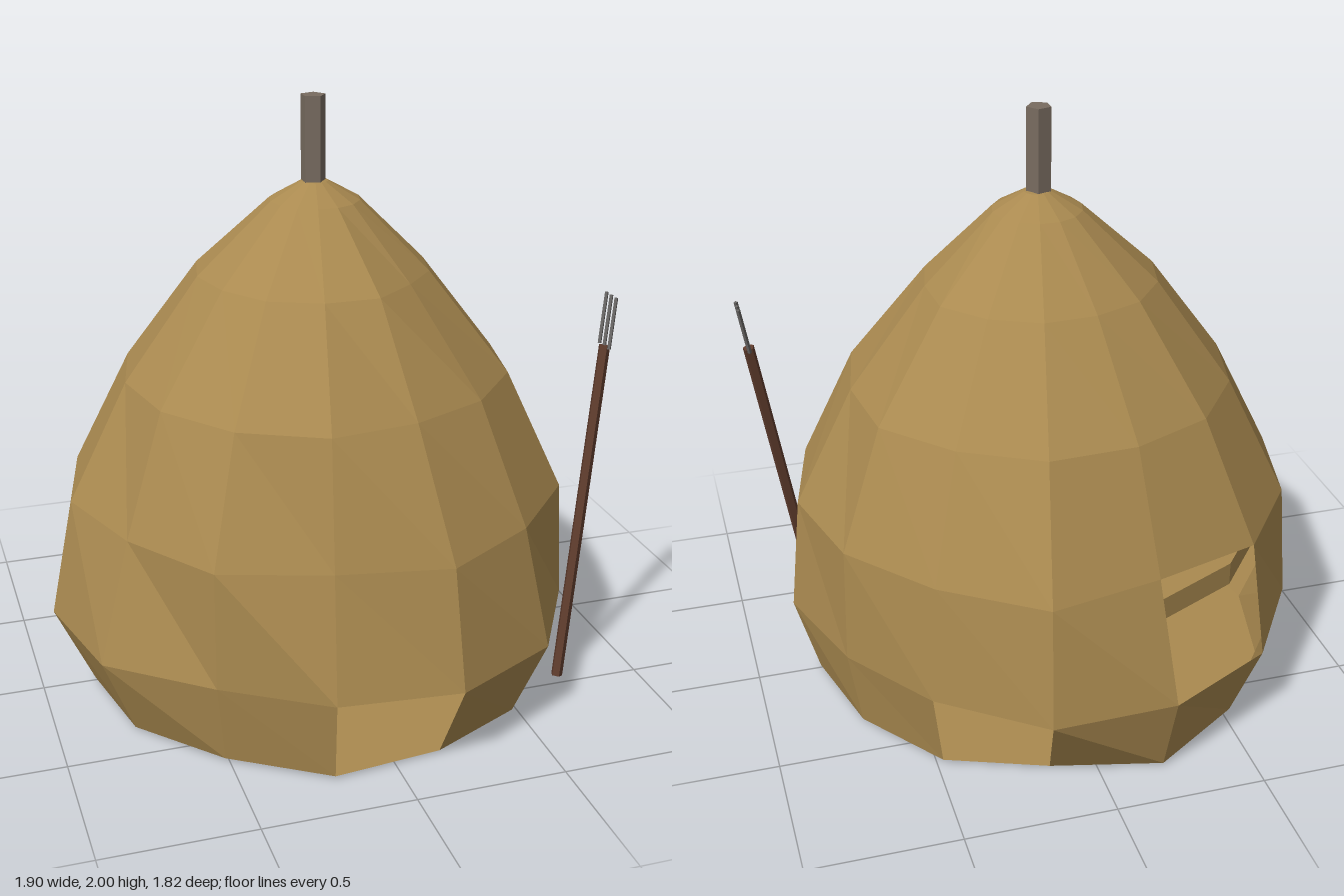
import * as THREE from 'three';

const straw = new THREE.MeshStandardMaterial({ color: 0xaa8a50, side: THREE.DoubleSide, flatShading: true });
straw.name = 'straw';
const poleWood = new THREE.MeshStandardMaterial({ color: 0x786c60, flatShading: true });
poleWood.name = 'weathered wood';
const handleWood = new THREE.MeshStandardMaterial({ color: 0x5f3c2d, flatShading: true });
handleWood.name = 'dark wood';
const iron = new THREE.MeshStandardMaterial({ color: 0x686664, flatShading: true });
iron.name = 'iron';

const CENTER_X = -0.02;
const SIDES = 14;

// A straight rod between two points
function rod(name, from, to, radius, sides, material) {
  const a = new THREE.Vector3(...from);
  const b = new THREE.Vector3(...to);
  const mesh = new THREE.Mesh(new THREE.CylinderGeometry(radius, radius, a.distanceTo(b), sides), material);
  mesh.position.copy(a).add(b).multiplyScalar(0.5);
  mesh.quaternion.setFromUnitVectors(new THREE.Vector3(0, 1, 0), b.sub(a).normalize());
  mesh.name = name;
  return mesh;
}

// Uneven faceted heap built from stacked rings, with a few gaps in its side
function haystack() {
  // Height, then the radius at each side, counted from +x towards -z
  const even = (radius) => new Array(SIDES).fill(radius);
  const levels = [
    [0.01, [0.80, 0.79, 0.80, 0.77, 0.86, 0.81, 0.80, 0.80, 0.81, 0.79, 0.84, 0.80, 0.80, 0.79]],
    [0.29, [0.88, 0.84, 0.86, 0.94, 0.93, 0.92, 0.88, 0.93, 0.93, 0.84, 0.89, 0.93, 0.92, 0.86]],
    [0.69, [0.84, 0.83, 0.82, 0.88, 0.80, 0.86, 0.85, 0.85, 0.81, 0.84, 0.79, 0.86, 0.82, 0.84]],
    [1.09, [0.64, 0.67, 0.65, 0.665, 0.65, 0.66, 0.65, 0.65, 0.66, 0.67, 0.675, 0.635, 0.64, 0.65]],
    [1.43, [0.38, 0.41, 0.40, 0.40, 0.39, 0.40, 0.40, 0.40, 0.40, 0.415, 0.41, 0.41, 0.37, 0.38]],
    [1.66, even(0.15)],
    [1.72, even(0.045)],
  ];
  const gaps = ['0:2', '0:10', '1:4']; // level:side

  const rings = levels.map(([y, radii]) => radii.map((r, i) => {
    const angle = (i / SIDES) * Math.PI * 2;
    return [CENTER_X + r * Math.cos(angle), y, -r * Math.sin(angle)];
  }));

  const points = [];
  const face = (...corners) => corners.forEach((c) => points.push(...c));
  for (let level = 0; level < rings.length - 1; level++) {
    for (let i = 0; i < SIDES; i++) {
      if (gaps.includes(`${level}:${i}`)) continue;
      const j = (i + 1) % SIDES;
      const [a, b] = [rings[level][i], rings[level][j]];
      const [c, d] = [rings[level + 1][j], rings[level + 1][i]];
      face(a, b, d);
      face(b, c, d);
    }
  }
  // Floor and crown
  const top = rings[rings.length - 1];
  for (let i = 0; i < SIDES; i++) {
    const j = (i + 1) % SIDES;
    face([CENTER_X, 0.01, 0], rings[0][j], rings[0][i]);
    face([CENTER_X, 1.725, 0], top[i], top[j]);
  }

  const geometry = new THREE.BufferGeometry();
  geometry.setAttribute('position', new THREE.Float32BufferAttribute(points, 3));
  geometry.computeVertexNormals();
  const mesh = new THREE.Mesh(geometry, straw);
  mesh.name = 'haystack';
  return mesh;
}

// Pitchfork leaning beside the heap
function pitchfork() {
  const group = new THREE.Group();
  group.name = 'pitchfork';
  group.add(rod('handle', [0.722, 0.005, 0.456], [0.914, 1.15, 0.288], 0.02, 5, handleWood));
  for (const offset of [-0.035, 0, 0.035]) {
    group.add(rod('tine', [0.914, 1.146, 0.287 + offset], [0.943, 1.317, 0.261 + offset], 0.007, 4, iron));
  }
  return group;
}

export function createModel() {
  const model = new THREE.Group();
  model.name = 'haystackWithPitchfork';
  model.add(haystack(), pitchfork());

  // Packed layer inside the heap, glimpsed through the gaps
  const layer = new THREE.Mesh(new THREE.CylinderGeometry(0.78, 0.78, 0.08, SIDES), straw);
  layer.name = 'innerLayer';
  layer.geometry.rotateY(Math.PI / 2);
  layer.position.set(CENTER_X, 0.55, 0);
  model.add(layer);

  // Five-sided pole rising from the crown
  const pole = rod('pole', [-0.025, 1.7, 0], [-0.025, 2, 0], 0.042, 5, poleWood);
  pole.geometry.rotateY(Math.PI / 2);
  model.add(pole);
  return model;
}
